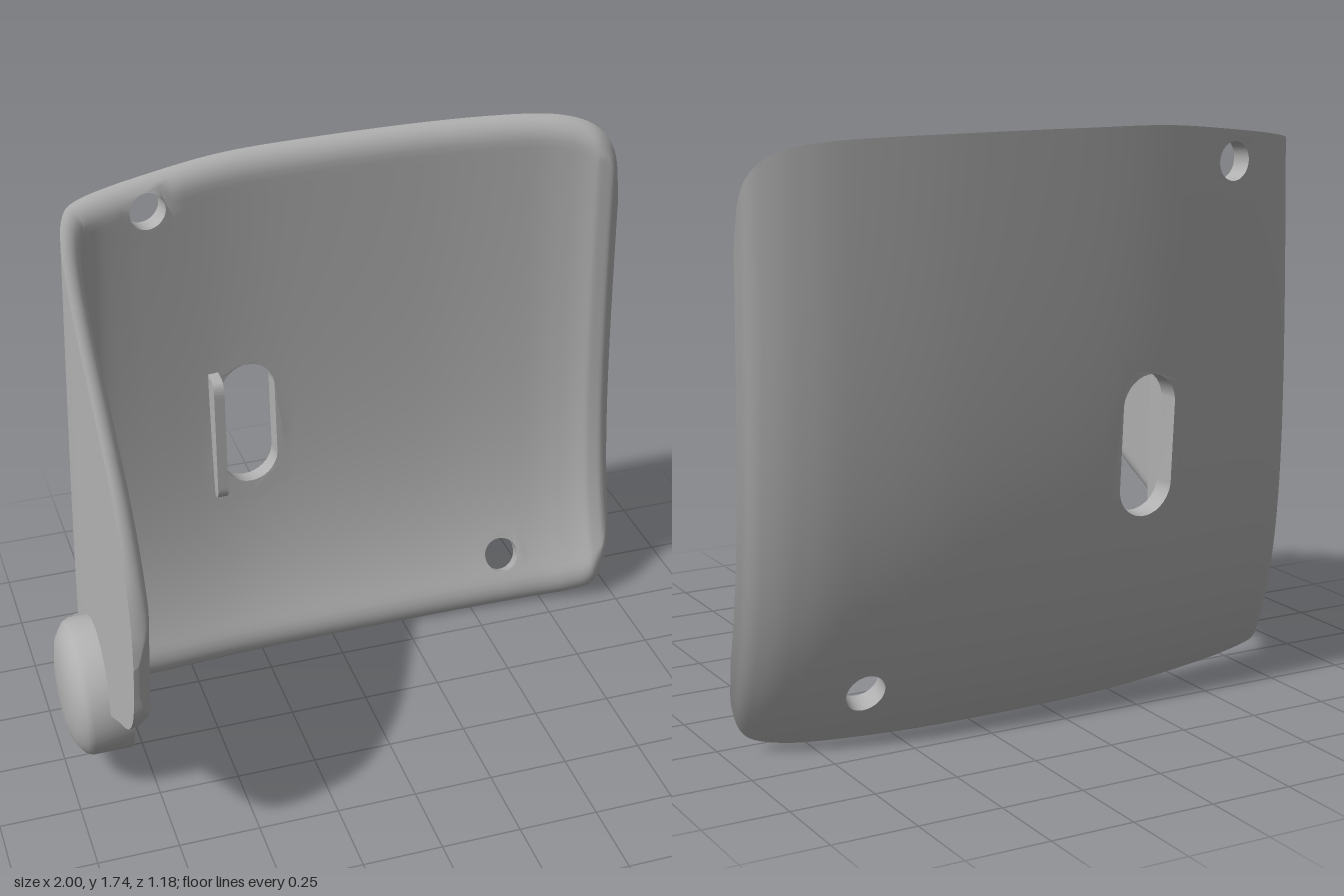
import * as THREE from 'three';
import { toCreasedNormals } from 'three/addons/utils/BufferGeometryUtils.js';

const THICK = 0.06, FILLET = 0.075, ROWS = 48;
const CUP = { y: 0.31, z: 0.04, notch: 0.2 };

// Stations from the wing tip, round the corner, to the far edge:
// outer x, outer z, share of the bottom sweep, top y, bottom y
const STATIONS = [
  [-0.885, 0.59, 0, 0.76, 0.68], [-0.885, 0.57, 0, 0.87, 0.57], [-0.885, 0.5, 0, 1.02, 0.485],
  [-0.885, 0.35, 0, 1.18, 0.4], [-0.885, 0.1, 0, 1.345, 0.255], [-0.885, -0.15, 0.1, 1.5, 0.13],
  [-0.875, -0.33, 0.6, 1.61, 0.085], [-0.84, -0.44, 0.9, 1.665, 0.06], [-0.77, -0.49, 1, 1.685, 0.045],
  [-0.6, -0.525, 1, 1.705, 0.025], [-0.3, -0.57, 1, 1.735, 0.01], [0, -0.588, 1, 1.74, 0.003],
  [0.4, -0.588, 1, 1.74, 0.003], [0.7, -0.565, 1, 1.735, 0.012], [0.85, -0.535, 1, 1.72, 0.025],
  [0.94, -0.5, 1, 1.68, 0.06], [0.985, -0.47, 1, 1.6, 0.16], [1, -0.46, 1, 1.45, 0.3],
];
const SPANS = STATIONS.length - 1;
const spline = (pts) => new THREE.CatmullRomCurve3(pts, false, 'catmullrom', 0.5);
const plan = spline(STATIONS.map((s) => new THREE.Vector3(s[0], s[1], s[2])));
const limits = spline(STATIONS.map((s) => new THREE.Vector3(s[3], s[4], 0)));
const clamp = THREE.MathUtils.clamp;

// Outer face of the shell at station t and height y
function outerPoint(t, y) {
  const p = plan.getPoint(clamp(t, 0, 1));
  const lean = 0.042 * (y - 0.33) * clamp((-0.6 - p.x) / 0.28, 0, 1);
  return new THREE.Vector3(p.x + lean, y, p.y + p.z * 0.23 * Math.exp(-y / 0.33));
}

// Bottom and top heights of a column; the notch clears the cup mouth
function columnAt(t, notched) {
  const l = limits.getPoint(t);
  let bottom = l.y;
  if (notched) {
    const dz = plan.getPoint(t).y - CUP.z;
    bottom = Math.max(bottom, CUP.y + Math.sqrt(Math.max(0, CUP.notch ** 2 - dz * dz)));
  }
  return { t, bottom, top: l.x };
}

// Inner face: outer face moved along its normal, rounded off towards the rim
function innerPoint(c, y) {
  const e = 1e-3, p = outerPoint(c.t, y);
  const du = outerPoint(c.t + e, y).sub(outerPoint(c.t - e, y));
  const dv = outerPoint(c.t, y + e).sub(outerPoint(c.t, y - e));
  const q = plan.getPoint(c.t);
  const end = q.x > 0 ? (1 - q.x) * 1.2 : q.x < -0.8 ? 0.59 - q.y : 1;
  const d = clamp(Math.min(y - c.bottom, c.top - y, end) / FILLET, 0, 1);
  return p.addScaledVector(du.cross(dv).normalize(), THICK * Math.sqrt(1 - (1 - d) ** 2));
}

function bisect(f, lo, hi) {
  for (let k = 0; k < 40; k++) {
    const m = (lo + hi) / 2;
    if (f(m) < 0) lo = m; else hi = m;
  }
  return (lo + hi) / 2;
}

// Loop of a rounded hole, counter-clockwise, as station and row values
function holeLoop(cx, cy, r, half) {
  const loop = [], n = 32;
  for (let k = 0; k < n; k++) {
    const a = ((k + 0.5) / n) * Math.PI * 2;
    const x = cx + r * Math.cos(a), y = cy + r * Math.sin(a) + half * Math.sign(Math.sin(a));
    const t = bisect((s) => outerPoint(s, y).x - x, 8 / SPANS, 1);
    const c = columnAt(t, false);
    loop.push(new THREE.Vector2(t, (y - c.bottom) / (c.top - c.bottom)));
  }
  return loop;
}

function makeGeometry(points, index) {
  const g = new THREE.BufferGeometry().setFromPoints(points);
  g.setIndex(index);
  g.computeVertexNormals();
  return g;
}

function buildShell() {
  // Columns, with a doubled one where the notch stops
  const notchAt = (z) => bisect((t) => z - plan.getPoint(t).y, 0, 7 / SPANS);
  const tA = notchAt(CUP.z + CUP.notch), tB = notchAt(CUP.z - CUP.notch);
  const ts = [tA, tB];
  for (let i = 0; i <= SPANS * 8; i++) ts.push(i / (SPANS * 8));
  ts.sort((a, b) => a - b);
  const cols = [];
  for (const t of ts) {
    cols.push(columnAt(t, t >= tA && t <= tB));
    if (t === tB) cols.push(columnAt(t, false));
  }
  const rows = [];
  for (let j = 0; j <= ROWS; j++) rows.push(0.5 - 0.5 * Math.cos((Math.PI * j) / ROWS));

  const outer = [], inner = [], tris = [], wall = [], wallTris = [];
  const add = (c, v) => {
    const y = THREE.MathUtils.lerp(c.bottom, c.top, v);
    outer.push(outerPoint(c.t, y));
    inner.push(innerPoint(c, y));
    return outer.length - 1;
  };
  for (const c of cols) for (const v of rows) add(c, v);
  const id = (i, j) => i * (ROWS + 1) + j;

  // Each hole replaces a block of cells with a patch fitted around it
  const blocks = [];
  for (const loop of [holeLoop(-0.54, 1.62, 0.058, 0), holeLoop(0.62, 0.165, 0.058, 0), holeLoop(-0.24, 0.81, 0.094, 0.12)]) {
    const box = new THREE.Box2().setFromPoints(loop);
    const i0 = cols.findLastIndex((c) => c.t < box.min.x - 1e-3), i1 = cols.findIndex((c) => c.t > box.max.x + 1e-3);
    const j0 = rows.findLastIndex((v) => v < box.min.y - 1e-3), j1 = rows.findIndex((v) => v > box.max.y + 1e-3);
    blocks.push([i0, i1, j0, j1]);
    const ring = [];
    for (let i = i0; i < i1; i++) ring.push([i, j0]);
    for (let j = j0; j < j1; j++) ring.push([i1, j]);
    for (let i = i1; i > i0; i--) ring.push([i, j1]);
    for (let j = j1; j > j0; j--) ring.push([i0, j]);
    const contour = ring.map(([i, j]) => new THREE.Vector2(cols[i].t, rows[j]));
    const hole = [...loop].reverse();
    const holeIds = hole.map((p) => add(columnAt(p.x, false), p.y));
    const ids = [...ring.map(([i, j]) => id(i, j)), ...holeIds];
    for (const f of THREE.ShapeUtils.triangulateShape(contour, [hole])) tris.push(...f.map((k) => ids[k]));
    // Hole wall
    const n = holeIds.length, base = wall.length;
    const around = [...holeIds].reverse();
    for (const k of around) wall.push(outer[k], inner[k]);
    for (let k = 0; k < n; k++) {
      const a = base + 2 * k, b = base + 2 * ((k + 1) % n);
      wallTris.push(a, a + 1, b + 1, a, b + 1, b);
    }
  }
  for (let i = 0; i < cols.length - 1; i++) for (let j = 0; j < ROWS; j++) {
    if (blocks.some(([a, b, c, d]) => i >= a && i < b && j >= c && j < d)) continue;
    const a = id(i, j), b = id(i + 1, j);
    tris.push(a, b, b + 1, a, b + 1, a + 1);
  }
  const flipped = [];
  for (let k = 0; k < tris.length; k += 3) flipped.push(tris[k], tris[k + 2], tris[k + 1]);
  return {
    shellInner: makeGeometry(inner, tris),
    shellOuter: makeGeometry(outer, flipped),
    holeWalls: makeGeometry(wall, wallTris),
  };
}

export function createModel() {
  const model = new THREE.Group();
  model.name = 'curvedBracket';
  const grey = new THREE.MeshStandardMaterial({ color: 0xb0b0b0 });
  grey.name = 'grey';
  const addMesh = (name, geometry) => {
    const mesh = new THREE.Mesh(geometry, grey);
    mesh.name = name;
    model.add(mesh);
    return mesh;
  };

  // Curved panel with side wing and holes
  for (const [name, geometry] of Object.entries(buildShell())) addMesh(name, geometry);

  // Cup through the wing, open towards the inside
  const profile = [[0, -1], [0.1, -0.997], [0.16, -0.985], [0.185, -0.97], [0.205, -0.955], [0.215, -0.935],
    [0.215, -0.815], [0.185, -0.815], [0.185, -0.96], [0, -0.96]].map(([r, h]) => new THREE.Vector2(r, h));
  const cup = addMesh('cup', toCreasedNormals(new THREE.LatheGeometry(profile, 48), 0.6));
  cup.rotation.z = -Math.PI / 2;
  cup.position.set(0, CUP.y, CUP.z);

  // Plates are drawn in (-z, y) and extruded across x
  const plate = (name, shape, x, depth) => {
    const mesh = addMesh(name, new THREE.ExtrudeGeometry(shape, { depth, bevelEnabled: false, curveSegments: 8 }));
    mesh.rotation.y = Math.PI / 2;
    mesh.position.x = x;
  };

  // Pointed tab on the cup rim
  const tab = new THREE.Shape();
  tab.moveTo(0.08, 0.485);
  tab.lineTo(0.21, 0.4);
  tab.quadraticCurveTo(0.23, 0.385, 0.22, 0.365);
  tab.lineTo(0.165, 0.26);
  tab.lineTo(0.148, 0.27);
  tab.quadraticCurveTo(0.15, 0.41, 0.07, 0.47);
  plate('cupTab', tab, -0.9, 0.09);

  // Upright rib beside the slot
  const rib = new THREE.Shape();
  rib.moveTo(0.49, 0.585);
  rib.lineTo(0.5, 1.02);
  rib.lineTo(0.455, 1.02);
  rib.quadraticCurveTo(0.42, 1.02, 0.42, 0.97);
  rib.lineTo(0.42, 0.63);
  rib.quadraticCurveTo(0.42, 0.585, 0.45, 0.585);
  plate('slotRib', rib, -0.365, 0.034);

  return model;
}
